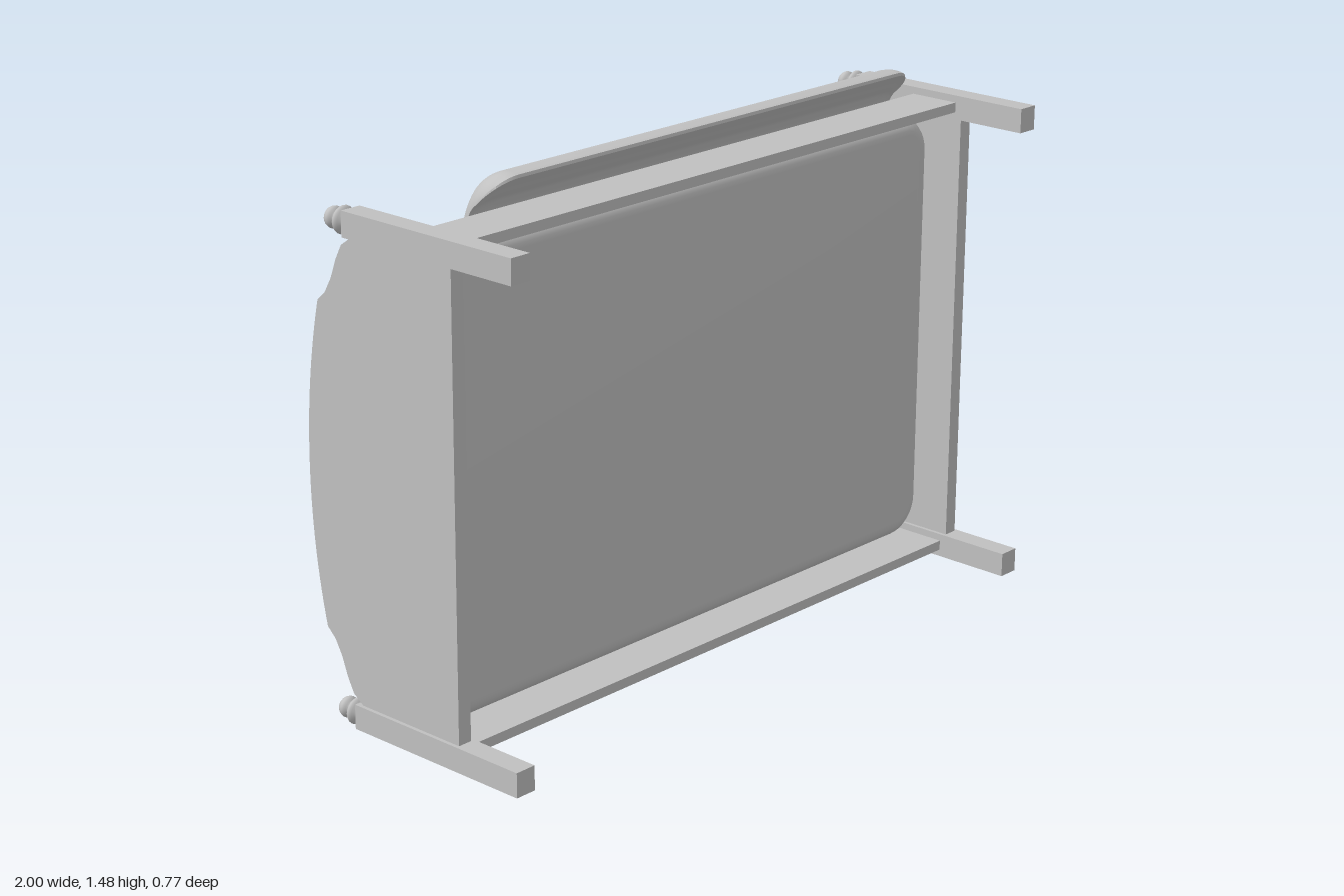
import * as THREE from 'three';
import { mergeVertices, toCreasedNormals } from 'three/addons/utils/BufferGeometryUtils.js';

const grey = new THREE.MeshStandardMaterial({ color: 0xc0c0c0 });
grey.name = 'plain grey';

// Bed axes: x = length (head at -x), y = width, -z = up
export function createModel() {
  const model = new THREE.Group();
  model.name = 'bed';
  const bed = new THREE.Group();
  bed.name = 'bedOnItsSide';
  bed.position.set(-0.003, 0.741, 0);
  bed.rotation.set(0, 0.027, -0.0105);
  model.add(bed);

  const add = (name, geometry, x = 0, y = 0, z = 0) => {
    const mesh = new THREE.Mesh(geometry, grey);
    mesh.name = name;
    mesh.position.set(x, y, z);
    bed.add(mesh);
    return mesh;
  };

  // Posts with turned finials
  const finial = new THREE.LatheGeometry(
    new THREE.SplineCurve([[0.02, 0], [0.021, 0.008], [0.034, 0.018], [0.034, 0.028], [0.016, 0.039],
      [0.025, 0.049], [0.028, 0.058], [0.02, 0.072], [0, 0.078]]
      .map(([r, h]) => new THREE.Vector2(r, h))).getPoints(24).map(p => p.setX(Math.max(p.x, 0))), 20);
  finial.rotateX(-Math.PI / 2);
  for (const end of [-1, 1]) {
    for (const side of [-1, 1]) {
      add('post', new THREE.BoxGeometry(0.06, 0.066, 0.568), end * 0.9525, side * 0.636, 0.076);
      add('finial', finial, end * 0.9525, side * 0.636, -0.208);
    }
    add(end < 0 ? 'headboard' : 'footboard', boardGeometry(0.04), end * 0.9525);
  }

  // Side rails
  for (const side of [-1, 1]) {
    add('sideRail', new THREE.BoxGeometry(1.88, 0.027, 0.145), 0, side * 0.636, 0.068);
  }

  add('mattress', mattressGeometry());
  add('quilt', quiltGeometry());

  // Two flat pillows below, two leaning on the headboard
  for (const side of [-1, 1]) {
    add('lowerPillow', pillowGeometry(0.17, 0.26, 0.05), -0.765, side * 0.29, -0.1);
    add('upperPillow', pillowGeometry(0.175, 0.24, 0.052), -0.788, side * 0.25, -0.232).rotation.y = -0.5;
  }
  return model;
}

// Board with scooped shoulders and an arched top
function boardGeometry(thickness) {
  const half = [[0.425, 0.312], [0.45, 0.285], [0.49, 0.262], [0.54, 0.243], [0.58, 0.222], [0.602, 0.19]];
  const s = new THREE.Shape();
  s.moveTo(-0.62, -0.153);
  s.lineTo(0.62, -0.153);
  s.lineTo(0.62, 0.19);
  for (const [v, h] of [...half].reverse()) s.lineTo(v, h);
  s.quadraticCurveTo(0.22, 0.36, 0, 0.36);
  s.quadraticCurveTo(-0.22, 0.36, -0.425, 0.312);
  for (const [v, h] of half) s.lineTo(-v, h);
  s.lineTo(-0.62, 0.19);
  const g = new THREE.ExtrudeGeometry(s, { depth: thickness, bevelEnabled: false, curveSegments: 16 });
  g.translate(0, 0, -thickness / 2);
  g.applyMatrix4(new THREE.Matrix4().makeBasis(
    new THREE.Vector3(0, 1, 0), new THREE.Vector3(0, 0, -1), new THREE.Vector3(-1, 0, 0)));
  return toCreasedNormals(g, 0.5);
}

// Rounded slab with soft edges
function mattressGeometry() {
  const b = 0.045, x = 0.927 - b, y = 0.607 - b, r = 0.06;
  const s = new THREE.Shape();
  s.absarc(x - r, y - r, r, 0, Math.PI / 2);
  s.absarc(-x + r, y - r, r, Math.PI / 2, Math.PI);
  s.absarc(-x + r, -y + r, r, Math.PI, Math.PI * 1.5);
  s.absarc(x - r, -y + r, r, Math.PI * 1.5, Math.PI * 2);
  const g = new THREE.ExtrudeGeometry(s, {
    depth: 0.04, bevelSize: b, bevelThickness: b, bevelSegments: 6, curveSegments: 8 });
  g.translate(0, 0, -0.025);
  return toCreasedNormals(g, 0.6);
}

// Cushion: a sphere squared off across the width, lens-shaped in section
function pillowGeometry(a, b, c) {
  const g = new THREE.SphereGeometry(1, 28, 24);
  const p = g.attributes.position;
  const pow = (n, e) => Math.sign(n) * Math.abs(n) ** e;
  for (let i = 0; i < p.count; i++) {
    const y = p.getY(i), r = Math.hypot(p.getX(i), p.getZ(i));
    const k = r > 1e-5 ? r ** 0.4 / r : 0;
    p.setXYZ(i, a * p.getX(i) * k, b * pow(y, 0.4), c * p.getZ(i) * k);
  }
  g.deleteAttribute('uv');
  g.deleteAttribute('normal');
  const merged = mergeVertices(g);
  merged.computeVertexNormals();
  return merged;
}

// Draped quilt: a thick arched section swept along the bed, closing softly at both ends
function quiltGeometry() {
  const mirrored = half => new THREE.SplineCurve(
    [...half.slice(1).reverse().map(([v, w]) => [-v, w]), ...half]
      .map(([v, w]) => new THREE.Vector2(v, w))).getPoints(56);
  const outer = mirrored([[0, -0.2], [0.3, -0.187], [0.5, -0.16], [0.62, -0.128], [0.69, -0.09],
    [0.722, -0.05], [0.732, -0.01], [0.728, 0.02]]);
  const inner = mirrored([[0, -0.07], [0.3, -0.07], [0.5, -0.07], [0.6, -0.068], [0.65, -0.05],
    [0.675, -0.025], [0.7, 0], [0.72, 0.022]]);
  const n = outer.length, ring = 2 * n, steps = 8, r = 0.08, half = 0.8, centre = 0.1;

  const stations = [];
  for (let i = 0; i <= steps; i++) {
    const t = (i / steps) * Math.PI / 2;
    stations.push([-half + r * (1 - Math.cos(t)), Math.sin(t)]);
  }
  for (const [u, e] of [...stations].reverse()) stations.push([-u, e]);

  const pos = [], index = [];
  for (const [u, e] of stations) {
    for (let j = 0; j < ring; j++) {
      const k = j < n ? j : ring - 1 - j;
      const p = (j < n ? outer : inner)[k];
      const mid = outer[k].clone().add(inner[k]).multiplyScalar(0.5);
      const q = mid.lerp(p, e);
      pos.push(centre + u, q.x * (1 - 0.095 * (1 - e)), -0.08 + (q.y + 0.08) * (0.35 + 0.65 * e));
    }
  }
  for (let i = 0; i < stations.length - 1; i++) {
    for (let j = 0; j < ring; j++) {
      const a = i * ring + j, c = i * ring + (j + 1) % ring, b = a + ring, d = c + ring;
      index.push(a, c, b, c, d, b);
    }
  }
  const g = new THREE.BufferGeometry();
  g.setAttribute('position', new THREE.Float32BufferAttribute(pos, 3));
  g.setIndex(index);
  return toCreasedNormals(g, 0.8);
}
